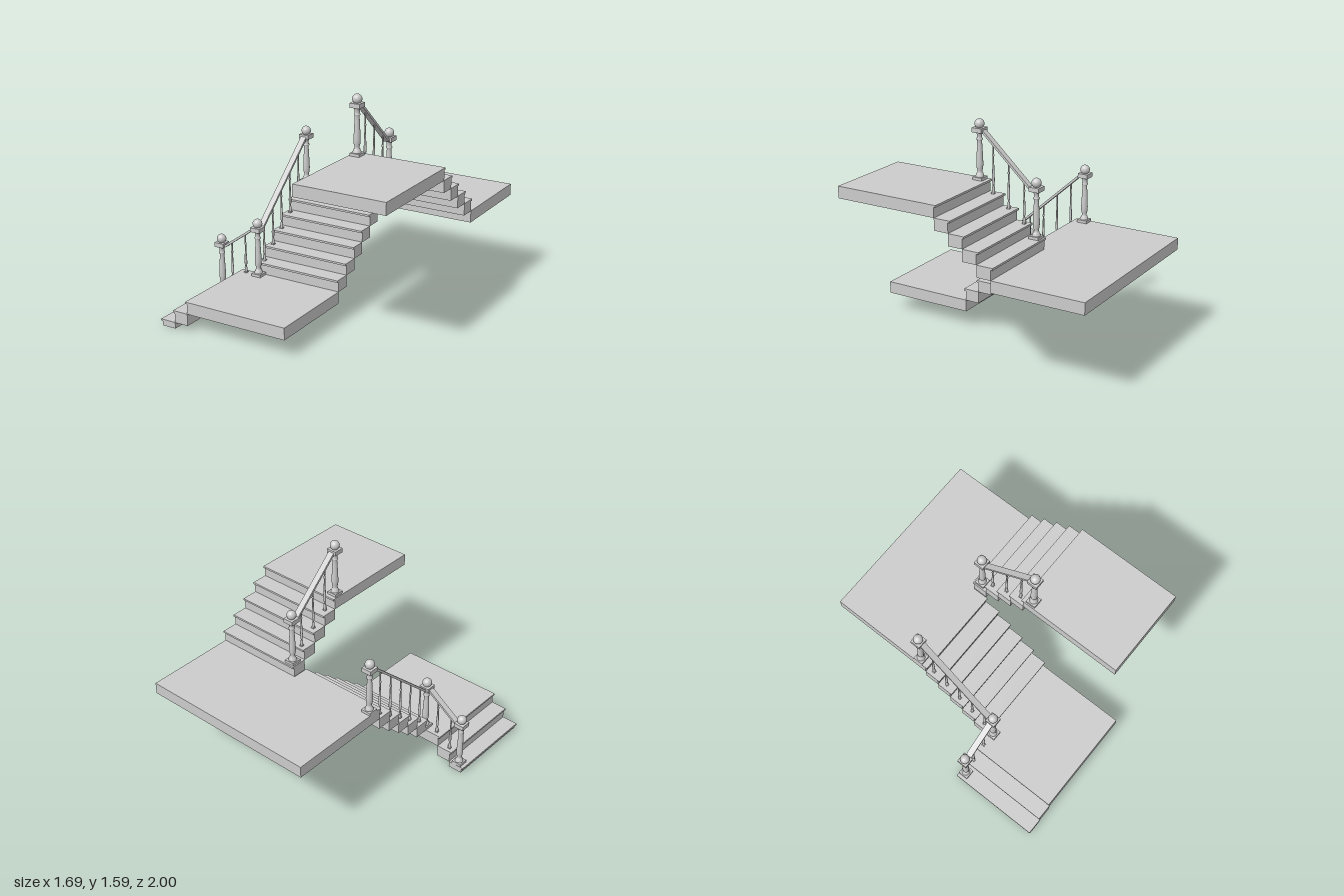
import * as THREE from 'three';

const material = new THREE.MeshStandardMaterial({ color: 0xcccccc, side: THREE.DoubleSide });
const NOSE = 0.014; // tread overhang and thickness
const RISE = 0.086;

function addMesh(parent, geometry, name) {
  const mesh = new THREE.Mesh(geometry, material);
  mesh.name = name;
  parent.add(mesh);
  return mesh;
}

// Box given by its two opposite corners
function block(parent, name, x0, x1, y0, y1, z0, z1) {
  const mesh = addMesh(parent, new THREE.BoxGeometry(x1 - x0, y1 - y0, z1 - z0), name);
  mesh.position.set((x0 + x1) / 2, (y0 + y1) / 2, (z0 + z1) / 2);
  return mesh;
}

// Turned profile from [radius, height] pairs
function turned(points, segments) {
  return new THREE.LatheGeometry(points.map(([r, y]) => new THREE.Vector2(r, y)), segments);
}

// Newel post: square foot, turned shaft, square cap and ball
function newelPost(parent, x, y, z) {
  const post = new THREE.Group();
  post.name = 'newelPost';
  block(post, 'foot', -0.037, 0.037, 0, 0.02, -0.037, 0.037);
  addMesh(post, turned([
    [0.029, 0.02], [0.029, 0.03], [0.023, 0.038], [0.023, 0.044], [0.017, 0.05],
    [0.017, 0.065], [0.022, 0.08], [0.024, 0.11], [0.022, 0.16], [0.018, 0.24],
    [0.016, 0.275], [0.022, 0.28], [0.022, 0.288], [0.017, 0.293], [0.018, 0.315], [0.026, 0.334],
  ], 20), 'shaft');
  block(post, 'cap', -0.038, 0.038, 0.333, 0.365, -0.038, 0.038);
  const ball = addMesh(post, new THREE.SphereGeometry(0.034, 24, 16), 'ball');
  ball.position.y = 0.391;
  post.position.set(x, y, z);
  parent.add(post);
  return post.position;
}

// Slender turned baluster with a square foot
function baluster(parent, x, y, z, height) {
  const group = new THREE.Group();
  group.name = 'baluster';
  block(group, 'balusterFoot', -0.011, 0.011, 0, 0.008, -0.011, 0.011);
  const shaft = addMesh(group, turned([
    [0.01, 0], [0.01, 0.12], [0.006, 0.15], [0.006, 0.18], [0.009, 0.22], [0.0095, 0.3],
    [0.007, 0.5], [0.005, 0.72], [0.008, 0.74], [0.008, 0.76], [0.005, 0.78], [0.006, 1],
  ], 12), 'balusterShaft');
  shaft.scale.y = height;
  group.position.set(x, y, z);
  parent.add(group);
}

// Sloping handrail between two newels, with balusters given as [x, y, z] feet
function balustrade(parent, from, to, feet) {
  const group = new THREE.Group();
  group.name = 'balustrade';
  const flat = new THREE.Vector3(to.x - from.x, 0, to.z - from.z).normalize();
  const a = from.clone().addScaledVector(flat, 0.036);
  const b = to.clone().addScaledVector(flat, -0.036);
  a.y += 0.342;
  b.y += 0.342;
  const rail = addMesh(group, new THREE.BoxGeometry(0.044, 0.016, a.distanceTo(b) + 0.01), 'handrail');
  rail.position.copy(a).lerp(b, 0.5);
  rail.lookAt(b);
  const run = Math.hypot(b.x - a.x, b.z - a.z);
  for (const [x, y, z] of feet) {
    const t = Math.hypot(x - a.x, z - a.z) / run;
    baluster(group, x, y, z, THREE.MathUtils.lerp(a.y, b.y, t) - y);
  }
  parent.add(group);
}

// Step running along z; dir is the direction of climbing
function step(parent, name, x0, x1, y0, y1, front, back, dir) {
  const lip = front - dir * NOSE;
  block(parent, name, x0, x1, y0, y1 - NOSE, Math.min(front, back), Math.max(front, back));
  block(parent, name + 'Tread', x0, x1, y1 - NOSE, y1, Math.min(lip, back), Math.max(lip, back));
}

export function createModel() {
  const model = new THREE.Group();
  model.name = 'staircase';

  // Entry steps climbing along +x to the lower landing
  const ends = [-0.832, -0.725, -0.618, 0.167];
  const tops = [0, 0.045, 0.132, 0.219];
  for (let i = 0; i < 3; i++) {
    const name = i < 2 ? 'entryStep' : 'lowerLanding';
    block(model, name, ends[i], ends[i + 1], tops[i], tops[i + 1] - NOSE, 0.324, 1);
    block(model, name + 'Tread', ends[i] - NOSE, ends[i + 1], tops[i + 1] - NOSE, tops[i + 1], 0.324, 1);
  }

  // Lower flight climbing towards the back
  const run = 0.1075;
  for (let i = 0; i < 6; i++) {
    const y = 0.219 + i * RISE, z = 0.324 - i * run;
    step(model, 'lowerStep', -0.507, 0.167, y, y + RISE, z, z - run, -1);
  }
  block(model, 'middleLanding', -0.507, 0.842, 0.65, 0.735, -1, -0.321);

  // Upper flight climbing towards the front
  for (let i = 0; i < 4; i++) {
    const y = 0.735 + i * RISE, z = -0.321 + i * run;
    step(model, 'upperStep', 0.169, 0.842, y, y + RISE, z, z + run, 1);
  }
  step(model, 'upperLanding', 0.169, 0.842, 1.079, 1.165, 0.109, 0.888, 1);

  // Newel posts
  const entry = newelPost(model, -0.785, 0.045, 0.362);
  const lower = newelPost(model, -0.47, 0.219, 0.362);
  const middle = newelPost(model, -0.47, 0.735, -0.28);
  const upperStart = newelPost(model, 0.215, 0.821, -0.285);
  const upperEnd = newelPost(model, 0.215, 1.165, 0.162);

  // Balustrades
  balustrade(model, entry, lower, [[-0.695, 0.132, 0.362], [-0.577, 0.219, 0.362]]);
  balustrade(model, lower, middle,
    [0, 1, 2, 3, 4].map((i) => [-0.47, 0.219 + (i + 1) * RISE, 0.284 - i * 0.113]));
  balustrade(model, upperStart, upperEnd,
    [0, 1, 2].map((i) => [0.215, 0.735 + (i + 2) * RISE, -0.19 + i * 0.122]));

  return model;
}
